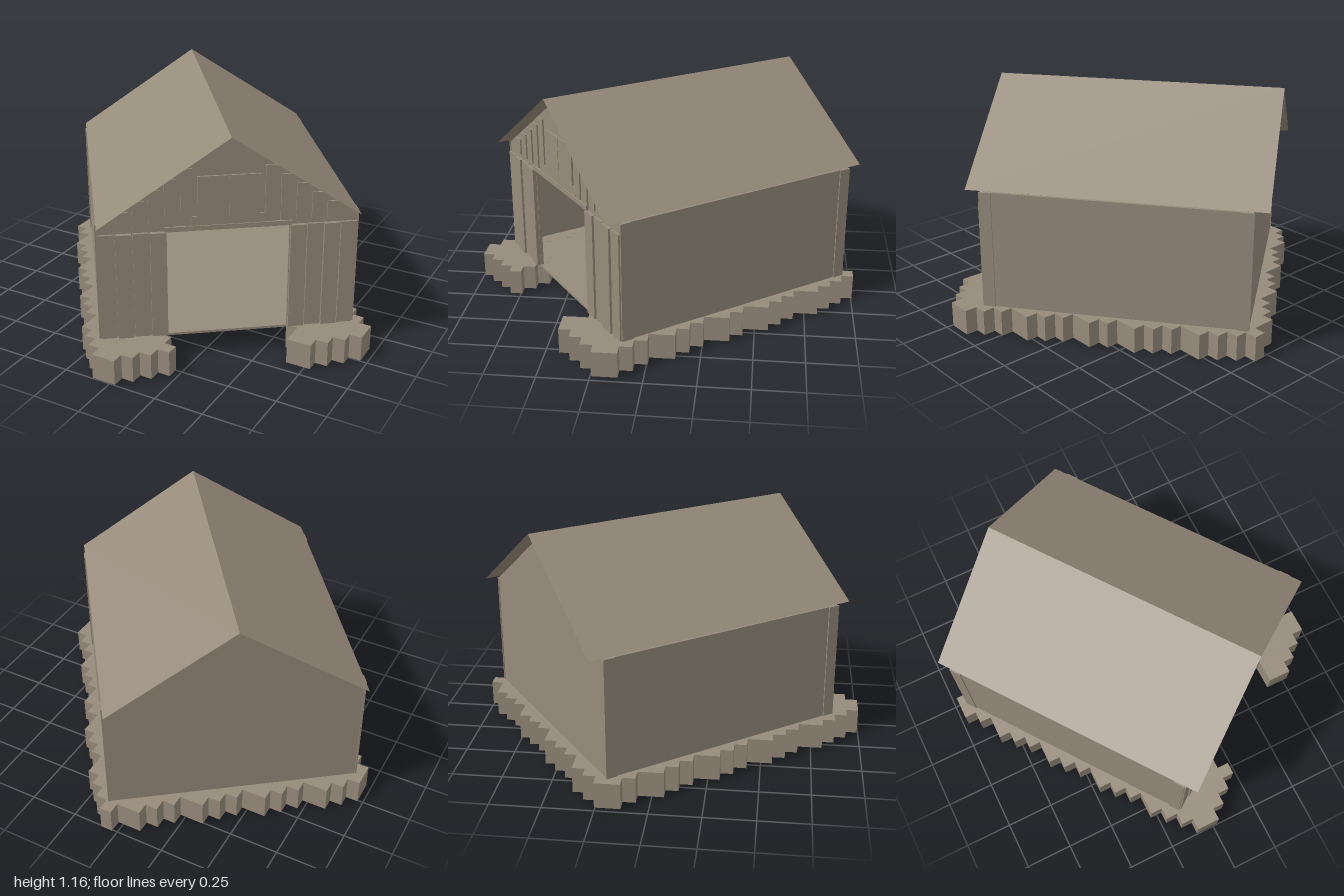
import * as THREE from 'three';

const timber = new THREE.MeshStandardMaterial({ color: 0x968b7b });
timber.name = 'weathered timber';
const timberSheet = timber.clone();
timberSheet.side = THREE.DoubleSide;

// Barn dimensions in its own, unturned frame
const TURN = 0.64, CX = -0.035, CZ = -0.045;
const HALF_W = 0.622, HALF_L = 0.655, ROOF_L = 0.729;
const FLOOR = 0.13, EAVE = 0.74, RIDGE = 1.157;
const DOOR = 0.293, DOOR_TOP = 0.68;

function box(parent, name, w, h, d, x, y, z) {
  const m = new THREE.Mesh(new THREE.BoxGeometry(w, h, d), timber);
  m.name = name;
  m.position.set(x, y, z);
  parent.add(m);
  return m;
}

const roofY = (x) => RIDGE - (RIDGE - EAVE) * Math.abs(x) / HALF_W;

// End wall outline, with a doorway cut up from the floor if asked
function endWall(name, z, hasDoor) {
  const s = new THREE.Shape();
  s.moveTo(-HALF_W, FLOOR);
  if (hasDoor) {
    s.lineTo(-DOOR, FLOOR);
    s.lineTo(-DOOR, DOOR_TOP);
    s.lineTo(DOOR, DOOR_TOP);
    s.lineTo(DOOR, FLOOR);
  }
  s.lineTo(HALF_W, FLOOR);
  s.lineTo(HALF_W, EAVE - 0.008);
  s.lineTo(0, RIDGE - 0.008);
  s.lineTo(-HALF_W, EAVE - 0.008);
  const m = new THREE.Mesh(new THREE.ExtrudeGeometry(s, { depth: 0.015, bevelEnabled: false }), timber);
  m.name = name;
  m.position.z = z;
  return m;
}

// Stepped stone footing: rows of square blocks that follow the turned plan
function footing() {
  const g = new THREE.Group();
  g.name = 'footing';
  const S = 0.0625, X0 = -0.9725, Z0 = -1.005, N = 32;
  const c = Math.cos(TURN), s = Math.sin(TURN);
  const inside = (i, j) => {
    const dx = X0 + (i + 0.5) * S - CX, dz = Z0 + (j + 0.5) * S - CZ;
    const x = Math.abs(dx * c - dz * s), z = dx * s + dz * c;
    if (x > 0.67 || z < -0.72 || z > 0.83) return false;
    if (z > 0.6) return x > 0.3;
    return x > 0.54 || z < -0.59;
  };
  for (let j = 0; j < N; j++) {
    let start = -1;
    for (let i = 0; i <= N; i++) {
      const on = i < 31 && inside(i, j);
      if (on && start < 0) start = i;
      if (!on && start >= 0) {
        const w = (i - start) * S;
        box(g, 'footingBlock', w, FLOOR, S, X0 + start * S + w / 2, FLOOR / 2, Z0 + (j + 0.5) * S);
        start = -1;
      }
    }
  }
  return g;
}

export function createModel() {
  const model = new THREE.Group();
  model.name = 'barn';
  model.add(footing());

  const barn = new THREE.Group();
  barn.name = 'barnBody';
  barn.position.set(CX, 0, CZ);
  barn.rotation.y = TURN;
  model.add(barn);

  box(barn, 'floor', 2 * HALF_W, 0.012, 2 * HALF_L, 0, FLOOR - 0.007, 0);
  barn.add(endWall('frontWall', HALF_L - 0.015, true));
  barn.add(endWall('backWall', -HALF_L, false));

  const wallH = EAVE - 0.006 - FLOOR, wallY = FLOOR + wallH / 2;
  for (const side of [-1, 1]) {
    box(barn, 'sideWall', 0.014, wallH, 2 * HALF_L - 0.03, side * (HALF_W - 0.007), wallY, 0);

    // Corner boards
    for (const end of [-1, 1]) {
      box(barn, 'cornerBoard', 0.008, wallH, 0.06, side * (HALF_W + 0.002), wallY, end * (HALF_L - 0.025));
    }

    // Overlapping upright boards beside the doorway
    for (let i = 0; i < 4; i++) {
      const w = 0.082, depth = i % 2 ? 0.012 : 0.02;
      box(barn, 'frontBoard', w - 0.006, DOOR_TOP - FLOOR, depth,
        side * (DOOR + w * (i + 0.5)), (FLOOR + DOOR_TOP) / 2, HALF_L + depth / 2);
    }

    // Narrow boards climbing the front gable
    for (let i = 0; i < 5; i++) {
      const x = 0.2 + i * 0.075;
      const top = roofY(x + 0.03) - 0.012, bottom = 0.705;
      box(barn, 'gableBoard', 0.055, top - bottom, 0.008, side * x, (top + bottom) / 2, HALF_L + 0.004);
    }

    // Loft shutters
    box(barn, 'loftShutter', 0.146, 0.2, 0.009, side * 0.075, 0.85, HALF_L + 0.0045);

    // Roof slope, a thin open sheet
    const geo = new THREE.BufferGeometry();
    const x = side * HALF_W;
    geo.setAttribute('position', new THREE.Float32BufferAttribute([
      0, RIDGE, -ROOF_L, 0, RIDGE, ROOF_L, x, EAVE, ROOF_L, x, EAVE, -ROOF_L], 3));
    geo.setIndex(side > 0 ? [0, 1, 2, 0, 2, 3] : [0, 2, 1, 0, 3, 2]);
    geo.computeVertexNormals();
    const slope = new THREE.Mesh(geo, timberSheet);
    slope.name = 'roofSlope';
    barn.add(slope);
  }

  // Door lintel and loft sill
  box(barn, 'doorLintel', 2 * DOOR + 0.02, 0.024, 0.014, 0, DOOR_TOP + 0.012, HALF_L + 0.007);
  box(barn, 'loftSill', 0.36, 0.046, 0.009, 0, 0.727, HALF_L + 0.0045);

  return model;
}
